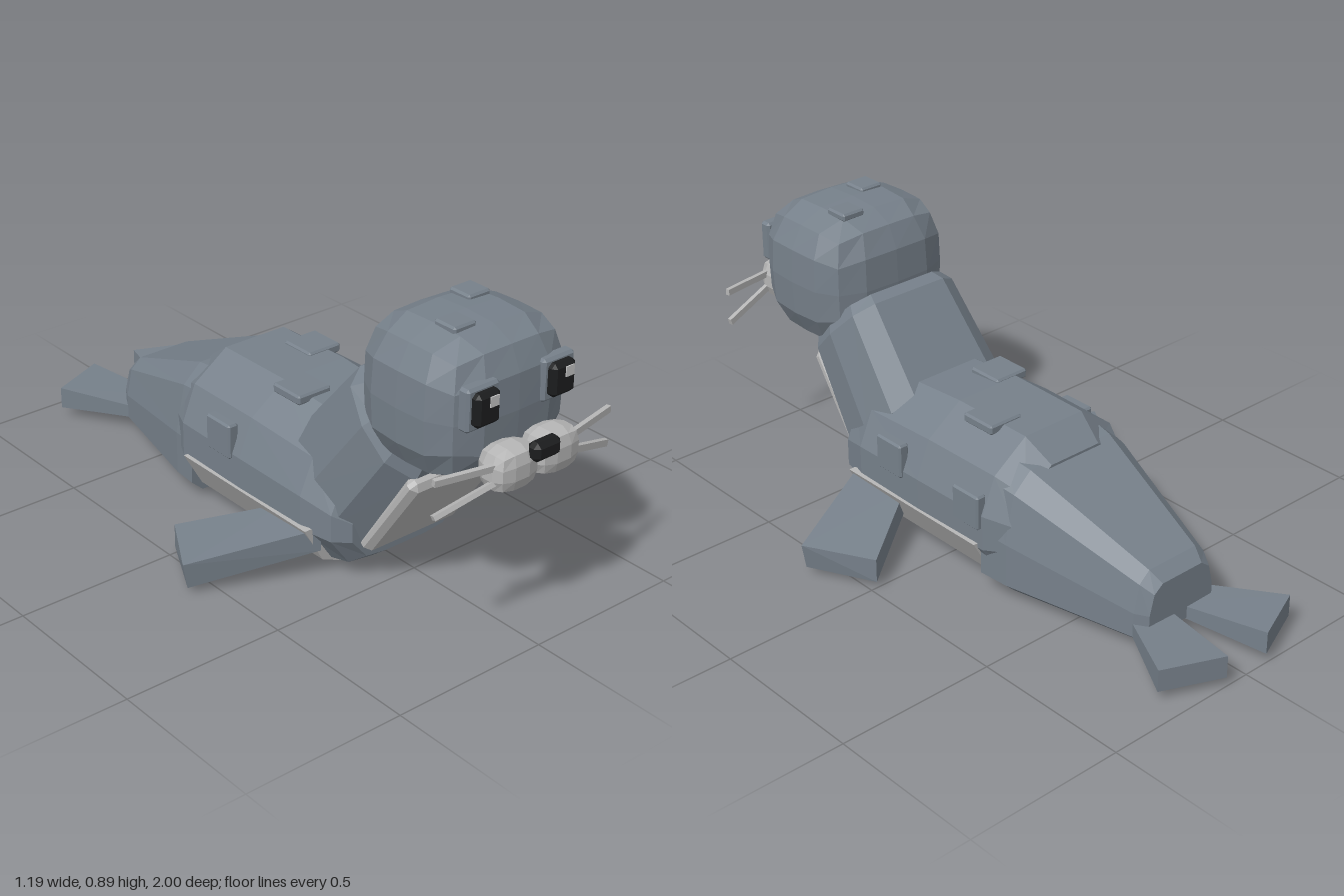
import * as THREE from 'three';
import { ConvexGeometry } from 'three/addons/geometries/ConvexGeometry.js';

export function createModel() {
  const group = new THREE.Group();
  const material = (name, color) => Object.assign(new THREE.MeshStandardMaterial({ color }), { name });
  const fur = material('slateFur', 0x76808a);
  const pale = material('paleFur', 0xb6b6b6);
  const black = material('black', 0x1c1d1e);
  const glint = material('eyeGlint', 0xc4c4c4);

  const add = (name, geometry, mat, x = 0, y = 0, z = 0) => {
    const mesh = new THREE.Mesh(geometry, mat);
    mesh.name = name;
    mesh.position.set(x, y, z);
    group.add(mesh);
    return mesh;
  };
  const flat = (geometry) => {
    const g = geometry.index ? geometry.toNonIndexed() : geometry;
    g.computeVertexNormals();
    return g;
  };

  // Box with chamfered edges
  const chamferBox = (w, h, d, c) => {
    const pts = [];
    for (const sx of [-1, 1]) for (const sy of [-1, 1]) for (const sz of [-1, 1])
      for (let k = 0; k < 3; k++)
        pts.push(new THREE.Vector3(
          sx * (w / 2 - (k === 0 ? 0 : c)),
          sy * (h / 2 - (k === 1 ? 0 : c)),
          sz * (d / 2 - (k === 2 ? 0 : c))));
    return new ConvexGeometry(pts);
  };

  // Faceted, boxy ball made by rounding a subdivided cube
  const boxyBall = (rx, ry, rz, segments, k) => {
    const g = new THREE.BoxGeometry(2, 2, 2, segments, segments, segments);
    const p = g.attributes.position;
    for (let i = 0; i < p.count; i++) {
      const v = [p.getX(i), p.getY(i), p.getZ(i)];
      const n = Math.pow(v.reduce((s, a) => s + Math.pow(Math.abs(a), k), 0), 1 / k);
      p.setXYZ(i, v[0] / n * rx, v[1] / n * ry, v[2] / n * rz);
    }
    return flat(g);
  };

  // Loft of a mirrored half profile (bottom to top) through rings [y, z, halfWidth, halfHeight, tilt]
  const loft = (half, rings) => {
    const outline = [...half, ...half.slice().reverse().map(([x, y]) => [-x, y])];
    const n = outline.length, pos = [], idx = [];
    for (const [cy, cz, w, h, tilt = 0] of rings)
      for (const [x, y] of outline)
        pos.push(x * w, cy + y * h * Math.cos(tilt), cz - y * h * Math.sin(tilt));
    for (let i = 0; i < rings.length - 1; i++)
      for (let j = 0; j < n; j++) {
        const a = i * n + j, b = i * n + (j + 1) % n;
        idx.push(a, b, b + n, a, b + n, a + n);
      }
    const last = (rings.length - 1) * n;
    for (let j = 1; j < n - 1; j++) idx.push(0, j + 1, j, last, last + j, last + j + 1);
    const g = new THREE.BufferGeometry();
    g.setAttribute('position', new THREE.Float32BufferAttribute(pos, 3));
    g.setIndex(idx);
    return flat(g);
  };

  // Body
  add('torso', loft(
    [[0.37, -1], [0.73, -0.93], [1, -0.4], [1, 0.1], [0.83, 0.62], [0.4, 1]],
    [[0.23, -0.32, 0.23, 0.17], [0.24, -0.23, 0.275, 0.222], [0.24, 0.05, 0.28, 0.225],
      [0.235, 0.32, 0.275, 0.21], [0.21, 0.42, 0.245, 0.17], [0.19, 0.46, 0.2, 0.12]]), fur);
  add('tail', loft(
    [[0.85, -1], [1, -0.82], [1, -0.1], [0.87, 0.7], [0.62, 1]],
    [[0.127, -0.75, 0.125, 0.08], [0.13, -0.71, 0.147, 0.108],
      [0.21, -0.3, 0.25, 0.19], [0.22, -0.21, 0.262, 0.195]]), fur);
  add('neck', loft(
    [[0.65, -1], [0.95, -0.55], [1, 0.1], [0.88, 0.75], [0.6, 1]],
    [[0.26, 0.33, 0.245, 0.2, 0.64], [0.53, 0.53, 0.222, 0.175, 0.78], [0.56, 0.555, 0.2, 0.155, 0.8]]), fur);

  // Pale belly shell and chest plate
  const rim = [[0.29, 0.165], [0.225, 0.05], [0.11, 0], [-0.11, 0], [-0.225, 0.05], [-0.29, 0.165],
    [-0.266, 0.165], [-0.208, 0.068], [-0.105, 0.022], [0.105, 0.022], [0.208, 0.068], [0.266, 0.165]];
  add('belly', flat(new THREE.ExtrudeGeometry(
    new THREE.Shape(rim.map(([x, y]) => new THREE.Vector2(x, y))),
    { depth: 0.57, bevelEnabled: false })), pale, 0, 0, -0.21);
  add('chest', chamferBox(0.345, 0.36, 0.05, 0.018), pale, 0, 0.262, 0.562).rotation.x = 0.6;

  // Head
  add('head', boxyBall(0.242, 0.215, 0.212, 4, 3.5), fur, 0, 0.668, 0.67);
  add('nose', chamferBox(0.096, 0.056, 0.045, 0.014), black, 0, 0.597, 0.9775);

  // Whisker between two points
  const whisker = (a, b) => {
    const from = new THREE.Vector3(...a), to = new THREE.Vector3(...b);
    const mid = from.clone().add(to).multiplyScalar(0.5);
    const mesh = add('whisker', new THREE.BoxGeometry(from.distanceTo(to), 0.02, 0.014), pale, mid.x, mid.y, mid.z);
    mesh.quaternion.setFromUnitVectors(new THREE.Vector3(1, 0, 0), to.sub(from).normalize());
  };

  for (const s of [-1, 1]) {
    // Face
    add('eyeSurround', chamferBox(0.115, 0.125, 0.04, 0.008), fur, s * 0.136, 0.723, 0.868);
    add('eye', chamferBox(0.086, 0.097, 0.04, 0.012), black, s * 0.136, 0.725, 0.892);
    add('eyeGlint', new THREE.BoxGeometry(0.03, 0.03, 0.006), glint, s * 0.136 + 0.013, 0.747, 0.912);
    add('muzzle', boxyBall(0.076, 0.062, 0.055, 3, 3.5), pale, s * 0.076, 0.552, 0.925);
    whisker([s * 0.12, 0.573, 0.945], [s * 0.32, 0.575, 0.905]);
    whisker([s * 0.12, 0.533, 0.945], [s * 0.318, 0.472, 0.905]);

    // Flippers
    const hull = (pts) => new ConvexGeometry(pts.map(([x, y, z]) => new THREE.Vector3(s * x, y, z)));
    add('frontFlipper', hull([
      [0.48, 0.02, 0], [0.48, 0.095, 0], [0.583, 0.02, 0.2], [0.597, 0.1, 0.2],
      [0.22, 0.08, 0.18], [0.22, 0.15, 0.18], [0.24, 0.09, 0.37], [0.24, 0.16, 0.37]]), fur);
    add('rearFlipper', hull([
      [0.08, 0.03, -1], [0.08, 0.1, -1], [0.265, 0.03, -0.92], [0.265, 0.1, -0.92],
      [0.015, 0.045, -0.7], [0.015, 0.08, -0.7], [0.12, 0.045, -0.66], [0.12, 0.08, -0.66]]), fur);
  }

  // Raised square patches
  for (const [x, z] of [[0.1, -0.08], [-0.1, 0.115]])
    add('backPatch', chamferBox(0.12, 0.03, 0.12, 0.006), fur, x, 0.457, z);
  for (const [x, z] of [[0.085, 0.595], [-0.08, 0.715]])
    add('headPatch', chamferBox(0.08, 0.025, 0.08, 0.006), fur, x, 0.878, z);
  for (const [x, y, z] of [[0.272, 0.293, 0.17], [0.272, 0.272, -0.17], [-0.272, 0.3, -0.04]])
    add('sidePatch', chamferBox(0.036, 0.11, 0.11, 0.006), fur, x, y, z);

  return group;
}
